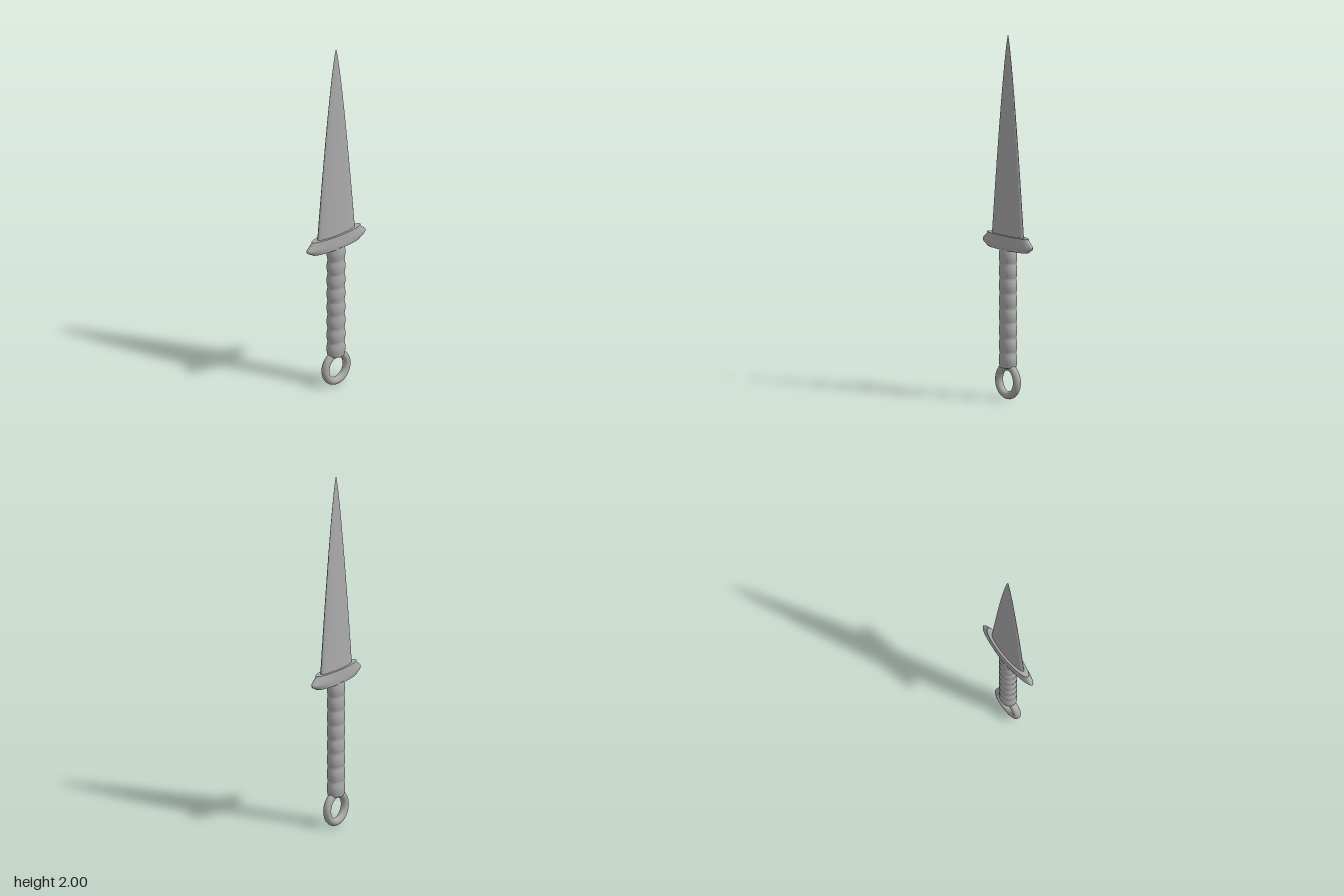
import * as THREE from 'three';
import { toCreasedNormals } from 'three/addons/utils/BufferGeometryUtils.js';

// Closed loft through elliptical rings [y, halfWidthX, halfDepthZ], bottom to top
function loft(rings, segments = 64, crease = 0.8) {
  const pos = [], index = [];
  for (const [y, rx, rz] of rings) {
    for (let i = 0; i < segments; i++) {
      const a = (i / segments) * Math.PI * 2;
      pos.push(rx * Math.cos(a), y, rz * Math.sin(a));
    }
  }
  for (let r = 0; r < rings.length - 1; r++) {
    for (let i = 0; i < segments; i++) {
      const j = (i + 1) % segments;
      const a = r * segments + i, b = r * segments + j;
      index.push(a, a + segments, b, b, a + segments, b + segments);
    }
  }
  // end caps
  const bottom = pos.length / 3, top = bottom + 1, last = (rings.length - 1) * segments;
  pos.push(0, rings[0][0], 0, 0, rings[rings.length - 1][0], 0);
  for (let i = 0; i < segments; i++) {
    const j = (i + 1) % segments;
    index.push(bottom, i, j, top, last + j, last + i);
  }
  const geo = new THREE.BufferGeometry();
  geo.setAttribute('position', new THREE.Float32BufferAttribute(pos, 3));
  geo.setIndex(index);
  return toCreasedNormals(geo, crease);
}

export function createModel() {
  const group = new THREE.Group();
  const steel = new THREE.MeshStandardMaterial({ color: 0xaaaaaa });
  steel.name = 'steel grey';

  const add = (name, geometry) => {
    const mesh = new THREE.Mesh(geometry, steel);
    mesh.name = name;
    group.add(mesh);
    return mesh;
  };

  // Blade: thin ellipse tapering in a gentle curve to the tip
  const blade = [];
  for (let i = 0; i <= 32; i++) {
    const s = Math.pow(1 - i / 32, 1.5); // rings closer together near the tip
    blade.push([2 - 1.11 * s, 0.0002 + 0.138 * Math.pow(s, 0.77), 0.0002 + 0.026 * Math.pow(s, 0.9)]);
  }
  add('blade', loft(blade));

  // Guard: flat ellipse whose ends bulge out sideways
  add('guard', loft([
    [0.822, 0.172, 0.037],
    [0.842, 0.208, 0.039],
    [0.85, 0.216, 0.039],
    [0.86, 0.216, 0.039],
    [0.868, 0.208, 0.039],
    [0.89, 0.18, 0.038],
    [0.901, 0.178, 0.038],
  ]));

  // Grip: oval handle with eight finger ripples
  const grip = [], ripples = 8, steps = 10;
  for (let i = 0; i <= ripples * steps; i++) {
    const wave = Math.abs(Math.sin((i / steps) * Math.PI));
    grip.push([0.175 + 0.652 * i / (ripples * steps), 0.049 + 0.007 * wave, 0.0415 + 0.0045 * wave]);
  }
  add('grip', loft(grip, 48));

  // Pommel ring
  const ring = add('pommelRing', new THREE.TorusGeometry(0.079, 0.0215, 20, 56));
  ring.position.y = 0.1005;

  return group;
}
